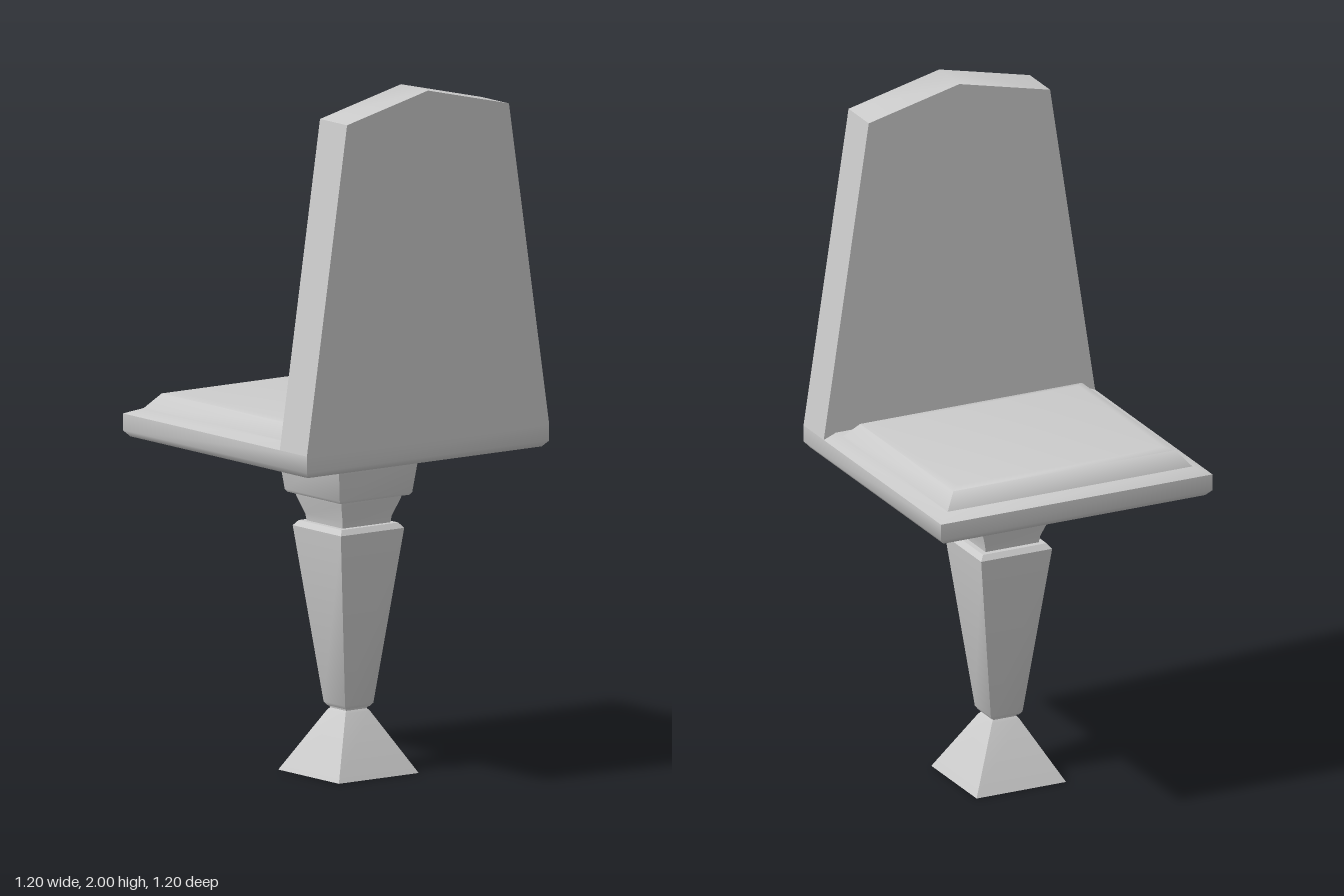
import * as THREE from 'three';
import { toCreasedNormals } from 'three/addons/utils/BufferGeometryUtils.js';

const material = new THREE.MeshStandardMaterial({ color: 0xcccccc });

// Stack of rectangles [y, half width, back z, front z], capped at both ends
function loft(sections, crease) {
  const positions = [];
  const index = [];
  for (const [y, h, z0, z1] of sections) {
    positions.push(-h, y, z1, h, y, z1, h, y, z0, -h, y, z0);
  }
  for (let s = 0; s < sections.length - 1; s++) {
    for (let i = 0; i < 4; i++) {
      const a = s * 4 + i;
      const b = s * 4 + (i + 1) % 4;
      index.push(a, b, b + 4, a, b + 4, a + 4);
    }
  }
  const t = (sections.length - 1) * 4;
  index.push(0, 2, 1, 0, 3, 2, t, t + 1, t + 2, t, t + 2, t + 3);
  const geometry = new THREE.BufferGeometry();
  geometry.setAttribute('position', new THREE.Float32BufferAttribute(positions, 3));
  geometry.setIndex(index);
  return toCreasedNormals(geometry, crease);
}

const square = ([y, h]) => [y, h, -h, h];

function part(parent, name, geometry) {
  const mesh = new THREE.Mesh(geometry, material);
  mesh.name = name;
  parent.add(mesh);
  return mesh;
}

export function createModel() {
  const model = new THREE.Group();
  model.name = 'pedestalChair';

  // The chair stands turned about the vertical axis, backrest on local +z
  const chair = new THREE.Group();
  chair.name = 'turnedChair';
  chair.rotation.y = 0.6435;
  model.add(chair);

  // Seat slab with softened lower edge and rim sloping up to the pad
  part(chair, 'seat', loft([
    [0.935, 0.413, -0.413, 0.413],
    [0.952, 0.428, -0.428, 0.428],
    [1.0, 0.428, -0.428, 0.428],
    [1.017, 0.386, -0.386, 0.29],
  ], 0.95));

  // Raised seat pad
  part(chair, 'seatPad', loft([
    [1.0, 0.39, -0.39, 0.29],
    [1.017, 0.386, -0.386, 0.265],
    [1.06, 0.35, -0.35, 0.23],
    [1.065, 0.325, -0.325, 0.205],
  ], 0.95));

  // Tapered backrest with a shallow gabled top
  const outline = new THREE.Shape([
    [-0.428, 1.0], [0.428, 1.0], [0.286, 1.932], [0, 2.0], [-0.286, 1.932],
  ].map(([x, y]) => new THREE.Vector2(x, y)));
  const back = new THREE.ExtrudeGeometry(outline, { depth: 0.126, bevelEnabled: false });
  back.translate(0, 0, 0.302);
  part(chair, 'backrest', toCreasedNormals(back, 0.6));

  // Four-sided pedestal, set slightly toward the backrest
  const pedestal = new THREE.Group();
  pedestal.name = 'pedestal';
  pedestal.position.z = 0.058;
  chair.add(pedestal);

  const pieces = {
    foot: [[0, 0.141], [0.175, 0.043], [0.182, 0.037]],
    ankle: [[0.182, 0.037], [0.195, 0.04]],
    post: [[0.188, 0.043], [0.198, 0.05], [0.7, 0.112], [0.715, 0.1]],
    neck: [[0.715, 0.084], [0.735, 0.087], [0.785, 0.105], [0.8, 0.108]],
    seatMount: [[0.795, 0.122], [0.803, 0.128], [0.937, 0.145]],
  };
  for (const [name, profile] of Object.entries(pieces)) {
    part(pedestal, name, loft(profile.map(square), 0.6));
  }

  return model;
}
